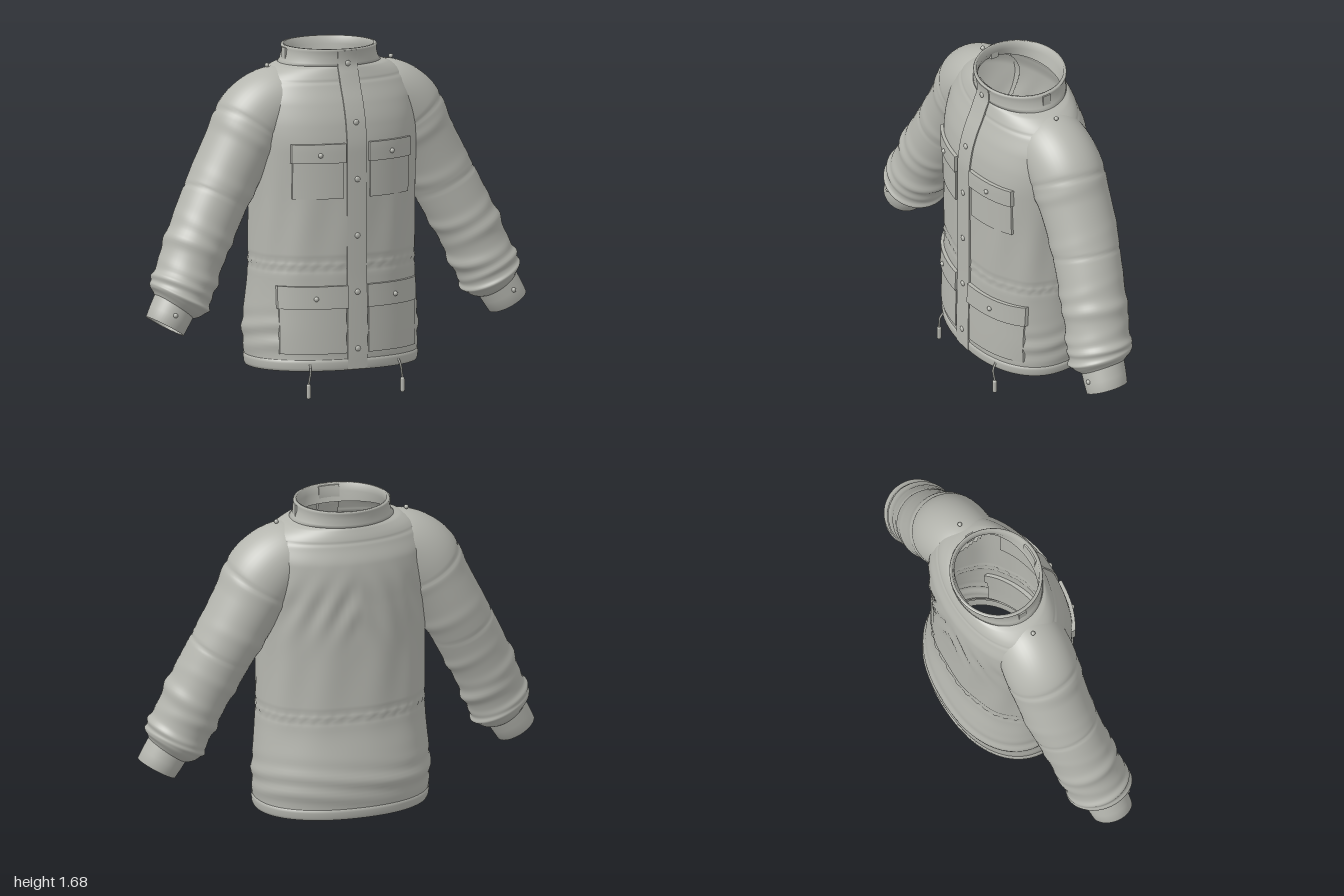
import * as THREE from 'three';

const fabric = new THREE.MeshStandardMaterial({ color: 0xb5b6af, side: THREE.DoubleSide });
fabric.name = 'grey fabric';

// Torso sections: height, half width, front z, back z
const SECTIONS = [
  [0.13, 0.425, 0.305, -0.295], [0.2, 0.432, 0.306, -0.305], [0.3, 0.438, 0.305, -0.318],
  [0.42, 0.43, 0.303, -0.305], [0.6, 0.418, 0.3, -0.278], [0.9, 0.415, 0.3, -0.275],
  [1.2, 0.425, 0.3, -0.28], [1.32, 0.43, 0.287, -0.283], [1.42, 0.428, 0.26, -0.278],
  [1.5, 0.4, 0.228, -0.256], [1.55, 0.355, 0.21, -0.243], [1.585, 0.295, 0.198, -0.23],
  [1.6, 0.247, 0.192, -0.224], [1.64, 0.233, 0.193, -0.226], [1.68, 0.23, 0.2, -0.235],
];

const gauss = (v, c, w) => Math.exp(-(((v - c) / w) ** 2));

// Smooth, overshoot-free reading of one column of the section table
function column(y, k) {
  const S = SECTIONS, last = S.length - 1;
  y = THREE.MathUtils.clamp(y, S[0][0], S[last][0]);
  let i = 0;
  while (i < last - 1 && y > S[i + 1][0]) i++;
  const rise = (j) => (S[j + 1][k] - S[j][k]) / (S[j + 1][0] - S[j][0]);
  const slope = (j) => {
    if (j === 0 || j === last) return rise(j ? j - 1 : 0);
    const a = rise(j - 1), b = rise(j);
    return a * b <= 0 ? 0 : (2 * a * b) / (a + b);
  };
  const h = S[i + 1][0] - S[i][0], t = (y - S[i][0]) / h, t2 = t * t, t3 = t2 * t;
  return S[i][k] * (2 * t3 - 3 * t2 + 1) + slope(i) * h * (t3 - 2 * t2 + t)
    + S[i + 1][k] * (3 * t2 - 2 * t3) + slope(i + 1) * h * (t3 - t2);
}

function section(y) {
  const f = column(y, 2), b = column(y, 3);
  return { a: column(y, 1), zc: (f + b) / 2, hz: (f - b) / 2, n: 2.2 - 0.2 * THREE.MathUtils.smoothstep(y, 1.25, 1.55) };
}

function frontZ(x, y) {
  const { a, zc, hz, n } = section(y);
  return zc + hz * Math.max(0, 1 - (Math.abs(x) / a) ** n) ** (1 / n);
}

function insideTorso(x, y, z) {
  const { a, zc, hz, n } = section(y);
  return y < 1.6 && (Math.abs(x) / a) ** n + (Math.abs(z - zc) / hz) ** n < 0.8;
}

// Seam grooves and soft folds of the torso cloth
function torsoFold(y, ang) {
  const back = Math.max(0, -Math.sin(ang));
  return -0.006 * (gauss(y, 0.665, 0.008) + gauss(y, 0.62, 0.008)) - 0.003 * gauss(y, 1.525, 0.007)
    + 0.004 * gauss(y, 0.64, 0.014) * Math.sin(ang * 40)
    + 0.005 * Math.sin(y * 62 + 2 * Math.sin(ang * 2)) * gauss(y, 0.3, 0.09)
    + 0.004 * Math.sin(ang * 11 + y * 3) * gauss(y, 0.85, 0.25)
    + 0.007 * back * Math.sin(Math.abs(Math.cos(ang)) * 22 + y * 22) * gauss(y, 1.2, 0.13);
}

function ring(y, grow, fold, count = 112) {
  const { a, zc, hz, n } = section(y), pts = [];
  for (let i = 0; i < count; i++) {
    const ang = (i / count) * Math.PI * 2, c = Math.cos(ang), s = Math.sin(ang);
    const d = grow + (fold ? torsoFold(y, ang) : 0);
    pts.push(new THREE.Vector3(
      Math.sign(c) * Math.abs(c) ** (2 / n) * (a + d), y,
      zc + Math.sign(s) * Math.abs(s) ** (2 / n) * (hz + d)));
  }
  return pts;
}

// Skin a list of closed rings, leaving out quads that are hidden
function loft(rings, hidden = () => false) {
  const m = rings[0].length, pos = [], idx = [];
  rings.flat().forEach((p) => pos.push(p.x, p.y, p.z));
  for (let r = 0; r < rings.length - 1; r++) {
    for (let i = 0; i < m; i++) {
      const j = (i + 1) % m;
      if ([rings[r][i], rings[r][j], rings[r + 1][i], rings[r + 1][j]].every(hidden)) continue;
      const a = r * m + i, b = r * m + j, c = a + m, d = b + m;
      idx.push(a, c, b, b, c, d);
    }
  }
  const g = new THREE.BufferGeometry();
  g.setAttribute('position', new THREE.Float32BufferAttribute(pos, 3));
  g.setIndex(idx);
  g.computeVertexNormals();
  return g;
}

// Sleeve stations: centre x, y, z, in-plane radius, depth radius
const SLEEVE = [
  [0.18, 1.42, -0.01, 0.15, 0.16], [0.3, 1.41, -0.015, 0.175, 0.175], [0.4, 1.33, -0.02, 0.19, 0.183],
  [0.48, 1.2, -0.022, 0.172, 0.177], [0.57, 1.04, -0.017, 0.163, 0.17], [0.65, 0.89, 0, 0.16, 0.163],
  [0.73, 0.73, 0.02, 0.153, 0.157], [0.8, 0.57, 0.04, 0.15, 0.153], [0.835, 0.495, 0.05, 0.148, 0.152],
  [0.862, 0.452, 0.056, 0.1, 0.1],
];
const CUFF = [
  [0.855, 0.47, 0.055, 0.108, 0.108], [0.885, 0.418, 0.06, 0.106, 0.106], [0.912, 0.37, 0.065, 0.102, 0.102],
  [0.909, 0.372, 0.065, 0.09, 0.09], [0.87, 0.44, 0.058, 0.088, 0.088],
];
// Sleeve folds: place along the sleeve, height, width, angle of the strongest side
const FOLDS = [
  [0.255, -0.006, 0.008, 0], [0.29, 0.006, 0.02, 2.4], [0.5, -0.005, 0.006, 0], [0.44, 0.006, 0.02, 3.1],
  [0.6, 0.008, 0.018, 2.6], [0.67, 0.013, 0.02, 0.4], [0.735, 0.014, 0.018, 3], [0.8, 0.015, 0.02, 0.5],
  [0.865, 0.014, 0.02, 2.8],
];

function tubeRing(p, tan, r, rz, side, t = -1, count = 48) {
  const l = Math.hypot(tan.x, tan.y), nx = -tan.y / l, ny = tan.x / l, pts = [];
  for (let i = 0; i < count; i++) {
    const ang = (i / count) * Math.PI * 2, c = Math.cos(ang);
    let d = 0;
    if (t >= 0) for (const [at, h, w, ph] of FOLDS) {
      d += h * gauss(t + 0.012 * Math.sin(ang + ph), at, w) * (0.6 + 0.4 * Math.cos(ang - ph));
    }
    pts.push(new THREE.Vector3(side * (p.x + nx * c * (r + d)), p.y + ny * c * (r + d), p.z + Math.sin(ang) * (rz + d)));
  }
  return pts;
}

function sleeveGeometry(side) {
  const path = new THREE.CatmullRomCurve3(SLEEVE.map((s) => new THREE.Vector3(s[0], s[1], s[2])), false, 'catmullrom');
  const radii = new THREE.CatmullRomCurve3(SLEEVE.map((s) => new THREE.Vector3(s[3], s[4], 0)), false, 'catmullrom');
  const rings = [];
  for (let i = 0; i <= 130; i++) {
    const t = i / 130, r = radii.getPoint(t);
    rings.push(tubeRing(path.getPoint(t), path.getTangent(t), r.x, r.y, side, t));
  }
  return loft(rings, (p) => insideTorso(p.x, p.y, p.z));
}

// Cloth panel bent to the front of the torso
function panelGeometry(x0, x1, y0, y1, thick) {
  const g = new THREE.BoxGeometry(x1 - x0, y1 - y0, thick + 0.02, 14, Math.ceil((y1 - y0) / 0.02), 1);
  g.translate((x0 + x1) / 2, (y0 + y1) / 2, (thick - 0.02) / 2);
  const p = g.attributes.position;
  for (let i = 0; i < p.count; i++) p.setZ(i, p.getZ(i) + frontZ(p.getX(i), p.getY(i)));
  g.computeVertexNormals();
  return g;
}

export function createModel() {
  const jacket = new THREE.Group();
  jacket.name = 'jacket';
  const add = (name, geometry) => {
    const mesh = new THREE.Mesh(geometry, fabric);
    mesh.name = name;
    jacket.add(mesh);
    return mesh;
  };
  const snap = (name, x, y, z, r = 0.014) => {
    const m = add(name, new THREE.SphereGeometry(r, 16, 10));
    m.position.set(x, y, z);
    return m;
  };

  // Torso, hem band and collar, each open like cloth
  const rows = [];
  for (let i = 0; i <= 130; i++) rows.push(ring(0.14 + 1.46 * (1 - (1 - i / 130) ** 1.6), 0, true));
  add('torso', loft(rows));
  add('hemBand', loft([[0.2, -0.016], [0.134, -0.016], [0.13, -0.008], [0.132, 0.002], [0.145, 0.006], [0.17, 0.006], [0.184, 0.003], [0.187, -0.006]]
    .map(([y, d]) => ring(y, d, false))));
  add('collar', loft([[1.59, -0.03], [1.597, 0.004], [1.61, 0.003], [1.64, 0.002], [1.665, 0.002], [1.672, 0.005], [1.68, 0.001], [1.68, -0.011], [1.64, -0.014], [1.59, -0.03]]
    .map(([y, d]) => ring(y, d, false))));

  // Front placket with its snaps
  add('placket', panelGeometry(-0.052, 0.052, 0.135, 1.672, 0.007));
  for (const y of [0.235, 0.51, 0.785, 1.06, 1.335, 1.61]) snap('placketSnap', 0, y, frontZ(0, y) + 0.008).scale.z = 0.6;

  for (const side of [1, -1]) {
    const panel = (name, x0, x1, y0, y1, d) =>
      add(name, panelGeometry(Math.min(side * x0, side * x1), Math.max(side * x0, side * x1), y0, y1, d));

    // Pockets with flaps
    panel('chestPocket', 0.07, 0.308, 0.97, 1.23, 0.008);
    panel('chestFlap', 0.063, 0.315, 1.145, 1.238, 0.018);
    panel('hipPocket', 0.06, 0.36, 0.215, 0.53, 0.008);
    panel('hipFlap', 0.052, 0.368, 0.435, 0.545, 0.018);
    snap('chestSnap', side * 0.19, 1.185, frontZ(0.19, 1.185) + 0.019, 0.012);
    snap('hipSnap', side * 0.21, 0.485, frontZ(0.21, 0.485) + 0.019, 0.012);

    // Sleeve and cuff
    add('sleeve', sleeveGeometry(side));
    const tan = new THREE.Vector3(0.5, -0.87, 0);
    add('cuff', loft(CUFF.map((c) => tubeRing(new THREE.Vector3(c[0], c[1], c[2]), tan, c[3], c[4], side))));
    snap('cuffSnap', side * 0.9, 0.435, 0.163, 0.012);

    // Shoulder snap and collar side tab
    snap('shoulderSnap', side * 0.33, 1.592, -0.015, 0.011);
    const tab = add('collarTab', new THREE.BoxGeometry(0.016, 0.075, 0.04));
    tab.position.set(side * 0.234, 1.634, -0.018);

    // Hem drawcord with a toggle
    const cord = new THREE.CatmullRomCurve3([[0.235, 0.165, 0.27], [0.24, 0.13, 0.288], [0.245, 0.1, 0.287], [0.25, 0.07, 0.285]]
      .map(([x, y, z]) => new THREE.Vector3(side * x, y, z)));
    add('drawcord', new THREE.TubeGeometry(cord, 12, 0.005, 8));
    add('toggle', new THREE.CapsuleGeometry(0.011, 0.053, 5, 12)).position.set(side * 0.25, 0.0375, 0.285);
  }
  return jacket;
}
